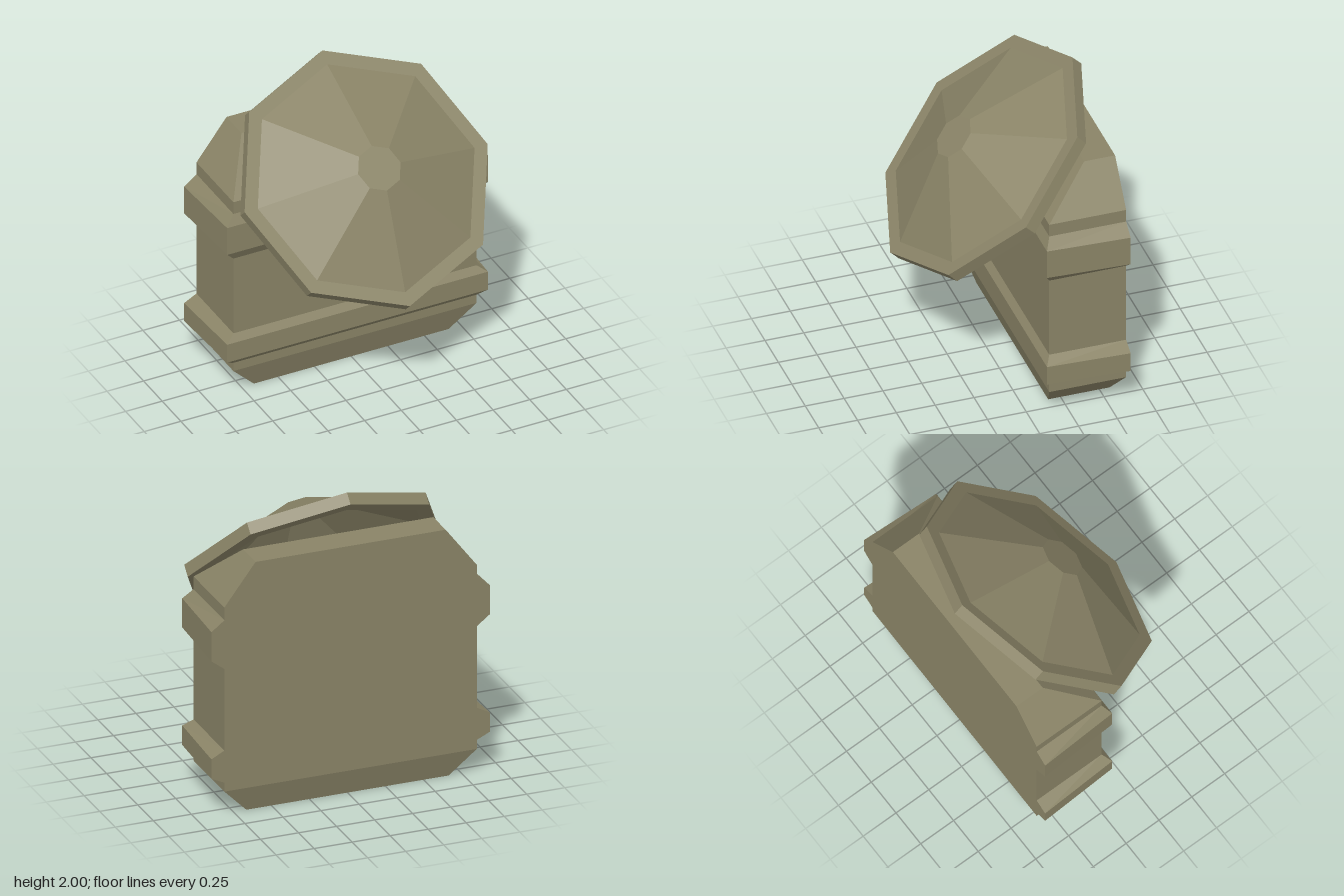
import * as THREE from 'three';

const olive = new THREE.MeshStandardMaterial({ color: 0x8a8467, flatShading: true, side: THREE.DoubleSide });
olive.name = 'olive drab';

const BACK = -0.615;

// Rectangular section: height, half width at the front and back, front z, back z
const section = (y, front, back = front, zFront = -0.12, zBack = BACK) => [
  [front, y, zFront], [back, y, zBack], [-back, y, zBack], [-front, y, zFront],
];

// Joins stacked sections with quads, capping the ends when asked
function loft(name, sections, capBottom = false, capTop = false) {
  const pos = [];
  const quad = (a, b, c, d) => pos.push(...a, ...b, ...c, ...a, ...c, ...d);
  for (let i = 0; i < sections.length - 1; i++) {
    const lo = sections[i], hi = sections[i + 1];
    for (let k = 0; k < 4; k++) {
      const n = (k + 1) % 4;
      quad(lo[k], lo[n], hi[n], hi[k]);
    }
  }
  if (capBottom) quad(...[...sections[0]].reverse());
  if (capTop) quad(...sections[sections.length - 1]);
  const geo = new THREE.BufferGeometry();
  geo.setAttribute('position', new THREE.Float32BufferAttribute(pos, 3));
  geo.computeVertexNormals();
  const mesh = new THREE.Mesh(geo, olive);
  mesh.name = name;
  return mesh;
}

// Raised band with bevelled edges, flush at the back
const band = (name, y0, y1, y2, y3) => loft(name, [
  section(y0, 0.83),
  section(y1, 0.89, 0.915, -0.085),
  section(y2, 0.89, 0.915, -0.085),
  section(y3, 0.83),
]);

export function createModel() {
  const model = new THREE.Group();
  model.name = 'dishUnit';

  // Housing, stacked from the ground up
  const housing = new THREE.Group();
  housing.name = 'housing';
  housing.add(
    loft('base', [section(0, 0.665, 0.665, -0.17, -0.565), section(0.17, 0.83), section(0.23, 0.83)], true),
    band('lowerBand', 0.23, 0.27, 0.4, 0.445),
    loft('trunk', [section(0.445, 0.83), section(0.99, 0.83)]),
    band('upperBand', 0.99, 1.055, 1.25, 1.315),
    loft('slopedTop', [section(1.315, 0.83), section(1.4, 0.83), section(1.67, 0.625, 0.625, -0.415)], false, true),
  );
  model.add(housing);

  // Tilted octagonal dish, hollow at the back
  const dish = new THREE.Group();
  dish.name = 'dish';
  const lathe = (name, points) => {
    const geo = new THREE.LatheGeometry(points.map(([r, y]) => new THREE.Vector2(r, y)), 8);
    const mesh = new THREE.Mesh(geo, olive);
    mesh.name = name;
    dish.add(mesh);
  };
  lathe('dishRim', [[0.74, 0], [0.74, -0.08], [0.83, -0.08], [0.83, 0], [0.74, 0]]);
  lathe('dishCone', [[0.74, 0], [0.145, 0.25], [0, 0.25]]);
  dish.position.set(0, 1.415, 0.03);
  dish.rotation.x = Math.PI / 4;
  model.add(dish);

  return model;
}
